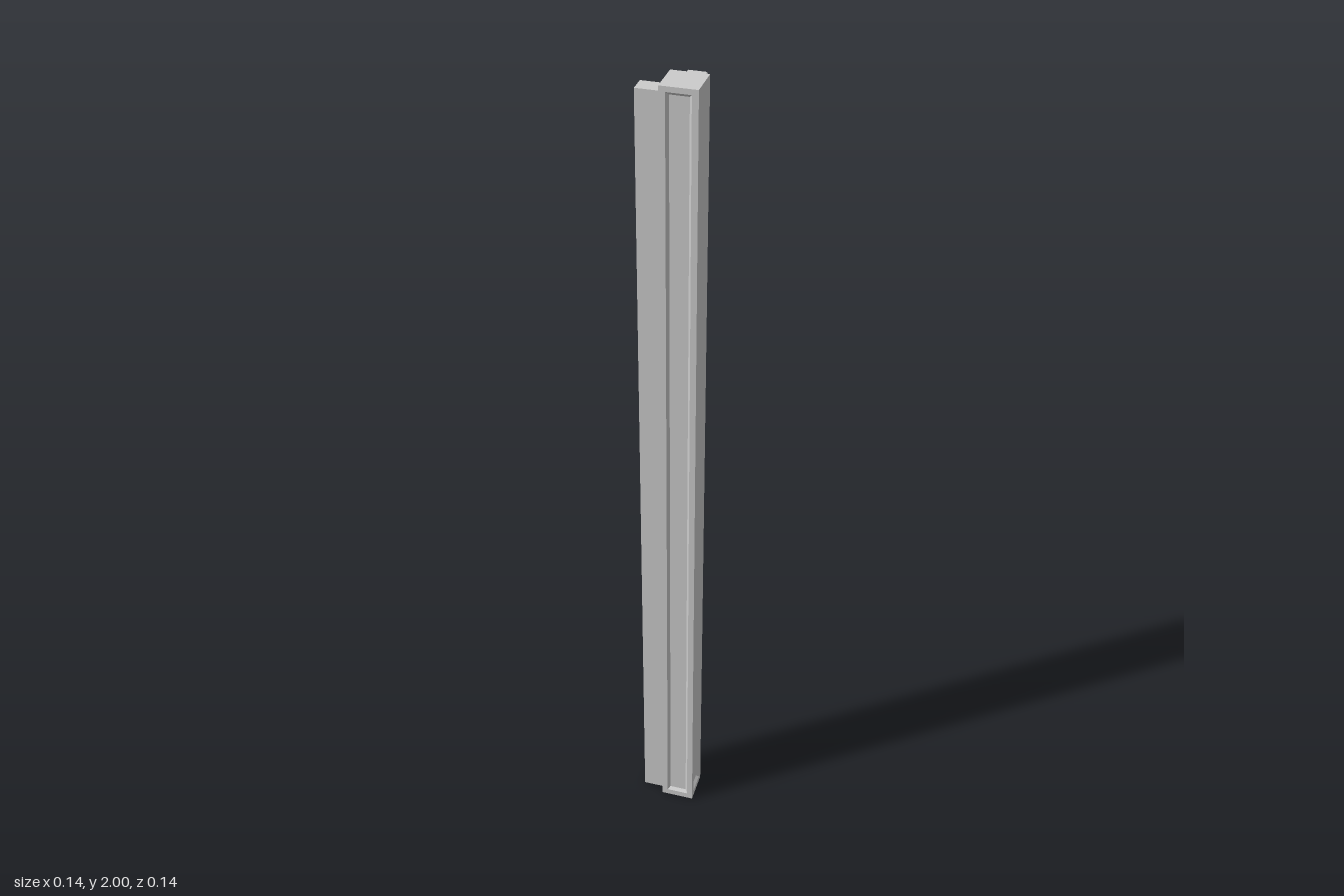
import * as THREE from 'three';

const material = new THREE.MeshStandardMaterial({ color: 0xcccccc, flatShading: true });
const HEIGHT = 2, HALF = 0.041, CENTRE = 0.0275;

// Rectangle corners, counter-clockwise seen from +z
const rect = (half, y0, y1, z) => [[-half, y0, z], [half, y0, z], [half, y1, z], [-half, y1, z]];

// Joins nested rectangles with strips and fills the last one
function nestedFace(loops) {
  const pos = [];
  const quad = (a, b, c, d) => pos.push(...a, ...b, ...c, ...a, ...c, ...d);
  for (let i = 0; i + 1 < loops.length; i++) {
    for (let k = 0; k < 4; k++) {
      const n = (k + 1) % 4;
      quad(loops[i][k], loops[i][n], loops[i + 1][n], loops[i + 1][k]);
    }
  }
  quad(...loops[loops.length - 1]);
  const geometry = new THREE.BufferGeometry();
  geometry.setAttribute('position', new THREE.Float32BufferAttribute(pos, 3));
  geometry.computeVertexNormals();
  return geometry;
}

function add(parent, name, geometry) {
  const mesh = new THREE.Mesh(geometry, material);
  mesh.name = name;
  parent.add(mesh);
  return mesh;
}

export function createModel() {
  const model = new THREE.Group();
  model.name = 'cornerPost';

  // Square post: recessed panels on the two outer faces, plain inner faces
  const post = new THREE.Group();
  post.name = 'post';
  post.position.set(CENTRE, 0, CENTRE);
  model.add(post);
  const outline = rect(HALF, 0, HEIGHT, HALF);
  const panelled = nestedFace([
    outline,
    rect(0.027, 0.016, 1.988, HALF),
    rect(0.021, 0.023, 1.981, HALF - 0.007),
  ]);
  const plain = nestedFace([outline]);
  ['frontPanel', 'leftPanel', 'backFace', 'rightFace'].forEach((name, i) => {
    add(post, name, i < 2 ? panelled : plain).rotation.y = i * Math.PI / 2;
  });

  // Post ends
  for (const [name, y, turn] of [['postTop', HEIGHT, -1], ['postBottom', 0, 1]]) {
    const end = add(post, name, new THREE.PlaneGeometry(2 * HALF, 2 * HALF));
    end.position.y = y;
    end.rotation.x = turn * Math.PI / 2;
  }

  // Two slightly shorter rails on the inner faces
  const railHeight = 1.98, railDepth = 0.056, railWidth = 0.04;
  const offset = CENTRE - HALF - railDepth / 2;
  add(model, 'sideRail', new THREE.BoxGeometry(railDepth, railHeight, railWidth))
    .position.set(offset, railHeight / 2, CENTRE);
  add(model, 'backRail', new THREE.BoxGeometry(railWidth, railHeight, railDepth))
    .position.set(CENTRE, railHeight / 2, offset);

  return model;
}
